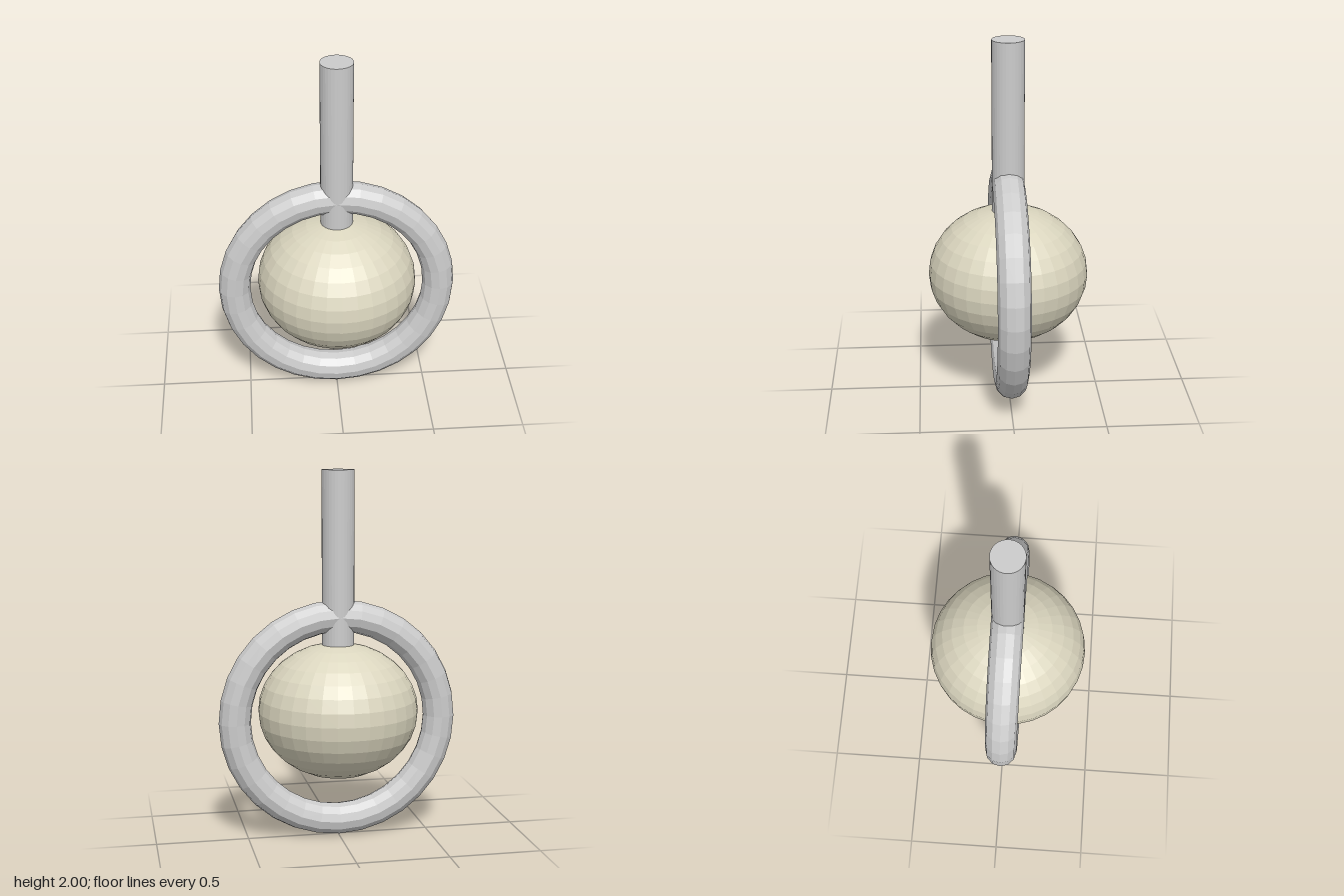
import * as THREE from 'three';

const GREY = 0xcccccc;
const CREAM = 0xdbd6bf;

function addPart(group, name, geometry, color, y) {
  const material = new THREE.MeshStandardMaterial({ color, flatShading: true });
  const mesh = new THREE.Mesh(geometry, material);
  mesh.name = name;
  mesh.position.y = y;
  group.add(mesh);
  return mesh;
}

export function createModel() {
  const model = new THREE.Group();
  model.name = 'ringPendantLamp';

  const tube = 0.087;        // shared radius of rod and ring
  const ringRadius = 0.566;
  const rodBottom = 1.04;    // sinks slightly into the globe
  const rodTop = 2;

  // Upright rod, passing through the top of the ring
  addPart(model, 'rod',
    new THREE.CylinderGeometry(tube, tube, rodTop - rodBottom, 32),
    GREY, (rodTop + rodBottom) / 2);

  // Vertical ring around the globe
  addPart(model, 'ring',
    new THREE.TorusGeometry(ringRadius, tube, 12, 32),
    GREY, ringRadius + tube);

  // Slightly flattened globe hanging from the rod
  const globe = addPart(model, 'globe',
    new THREE.SphereGeometry(0.435, 32, 16),
    CREAM, 0.702);
  globe.scale.y = 0.85;

  return model;
}
